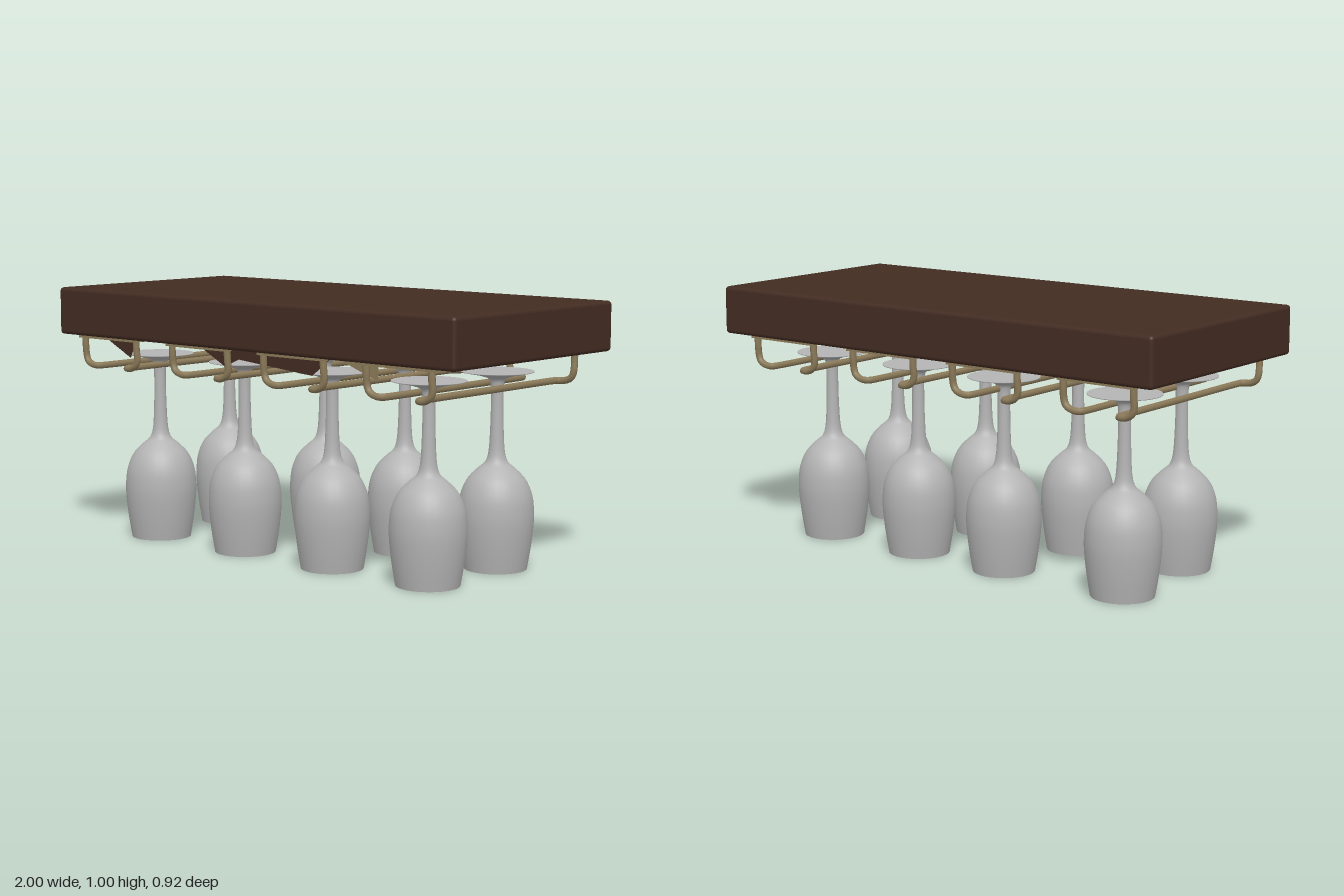
import * as THREE from 'three';
import { RoundedBoxGeometry } from 'three/addons/geometries/RoundedBoxGeometry.js';

const wood = new THREE.MeshStandardMaterial({ color: 0x432c22, side: THREE.DoubleSide });
wood.name = 'dark wood';
const brass = new THREE.MeshStandardMaterial({ color: 0x8c7b5a, side: THREE.DoubleSide });
brass.name = 'aged brass';
const glass = new THREE.MeshStandardMaterial({ color: 0xb4b4b4, side: THREE.DoubleSide });
glass.name = 'pale grey glass';

function add(parent, name, geometry, material, x = 0, y = 0, z = 0) {
  const mesh = new THREE.Mesh(geometry, material);
  mesh.name = name;
  mesh.position.set(x, y, z);
  parent.add(mesh);
  return mesh;
}

// One bent rod: down from the shelf, inward, along the depth, and back up
function railGeometry(side) {
  const end = [
    [0.147, 0.81, 0.415], [0.147, 0.77, 0.414], [0.147, 0.73, 0.41],
    [0.138, 0.708, 0.41], [0.115, 0.695, 0.41], [0.092, 0.692, 0.41],
    [0.078, 0.692, 0.402], [0.075, 0.692, 0.38],
  ];
  const back = end.map(([x, y, z]) => [x, y, -z]).reverse();
  const points = [...end, [0.075, 0.692, 0], ...back]
    .map(([x, y, z]) => new THREE.Vector3(side * x, y, z));
  const path = new THREE.CatmullRomCurve3(points, false, 'centripetal');
  return new THREE.TubeGeometry(path, 90, 0.013, 8);
}

function createRack(x) {
  const rack = new THREE.Group();
  rack.name = 'rack';
  rack.position.x = x;
  for (const side of [-1, 1]) {
    add(rack, 'rail', railGeometry(side), brass);
    add(rack, 'mountingPlate', new THREE.BoxGeometry(0.32, 0.01, 0.065), brass, 0, 0.805, side * 0.405);
  }
  return rack;
}

// Upside-down wine glass, from the closed mouth up to the foot
function createGlass(x, z) {
  const goblet = new THREE.Group();
  goblet.name = 'wineGlass';
  goblet.position.set(x, 0, z);
  const bowl = new THREE.SplineCurve([
    [0.117, 0], [0.13, 0.08], [0.139, 0.16], [0.14, 0.22], [0.132, 0.28],
    [0.108, 0.335], [0.07, 0.375], [0.042, 0.4], [0.03, 0.44], [0.025, 0.52],
    [0.023, 0.62], [0.025, 0.69], [0.036, 0.71],
  ].map(([r, y]) => new THREE.Vector2(r, y)));
  add(goblet, 'bowlAndStem', new THREE.LatheGeometry(bowl.getPoints(40), 28), glass);
  const mouth = add(goblet, 'mouth', new THREE.CircleGeometry(0.117, 28), glass);
  mouth.rotation.x = Math.PI / 2;
  const foot = [[0.036, 0.71], [0.075, 0.722], [0.135, 0.733], [0.135, 0.736], [0, 0.736]]
    .map(([r, y]) => new THREE.Vector2(r, y));
  add(goblet, 'foot', new THREE.LatheGeometry(foot, 28), glass);
  return goblet;
}

// Thin triangular trim hanging below the front edge
function addTrim(parent, material, corners) {
  const shape = new THREE.Shape(corners.map(([x, y]) => new THREE.Vector2(x, y)));
  add(parent, 'frontTrim', new THREE.ShapeGeometry(shape), material, 0, 0, 0.405);
}

export function createModel() {
  const model = new THREE.Group();
  model.name = 'hangingGlassRack';

  add(model, 'shelf', new RoundedBoxGeometry(2, 0.185, 0.92, 3, 0.015), wood, 0, 0.9025, 0);

  for (const x of [-0.75, -0.255, 0.225, 0.72]) model.add(createRack(x));

  const places = [
    [-0.695, 0.205], [-0.225, 0.205], [0.23, 0.21], [0.68, 0.2],
    [-0.73, -0.22], [-0.19, -0.215], [0.23, -0.205], [0.68, -0.195],
  ];
  for (const [x, z] of places) model.add(createGlass(x, z));

  addTrim(model, wood, [[-0.8, 0.81], [-0.645, 0.735], [-0.61, 0.81]]);
  addTrim(model, wood, [[-0.27, 0.81], [-0.13, 0.74], [0.03, 0.81]]);
  addTrim(model, wood, [[-0.1, 0.775], [0.31, 0.74], [0.4, 0.81], [0, 0.81]]);
  addTrim(model, brass, [[0.43, 0.81], [0.62, 0.745], [0.62, 0.81]]);
  return model;
}
